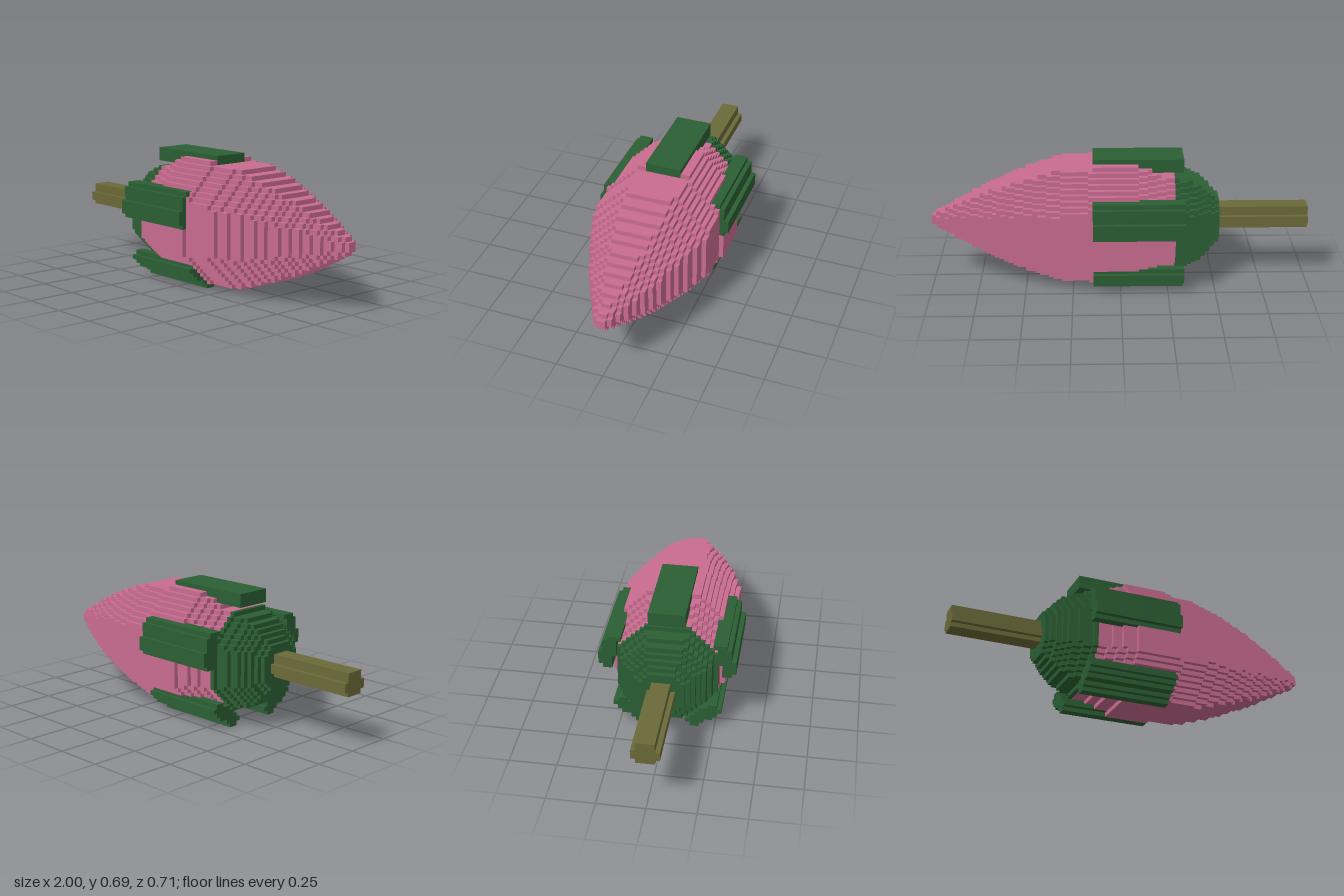
import * as THREE from 'three';

const S = 2 / 84;               // cell size
const NX = 84, NY = 29, NZ = 30; // grid cells
const CY = 14;                  // height of the long axis, in cells

// Outline radius [slice, radius] in cells along the long axis
const CALYX = [[20, 4.6], [22, 6.6], [24, 8.6], [27, 9.8], [30, 10.9]];
const BUD = [[30, 10.7], [33, 11.5], [35, 12.5], [38, 13.5], [43, 13.8], [48, 13.5], [57, 12.5],
  [60, 11.5], [66, 9.5], [71, 7.5], [75, 5.5], [81, 2.5], [84, 1]];

function radiusAt(profile, x) {
  for (let n = 1; n < profile.length; n++) {
    const [x0, r0] = profile[n - 1], [x1, r1] = profile[n];
    if (x >= x0 && x <= x1) return r0 + (r1 - r0) * (x - x0) / (x1 - x0);
  }
  return 0;
}

// Regular octagon section
const inOctagon = (y, z, r) =>
  Math.max(Math.abs(y), Math.abs(z)) < r && Math.abs(y) + Math.abs(z) < r * Math.SQRT2;

// Five flat sepals spaced evenly around the axis
function inSepal(x, y, z) {
  if (x < 28 || x > 48) return false;
  for (let n = 0; n < 5; n++) {
    const a = n * Math.PI * 2 / 5;
    const out = y * Math.cos(a) + z * Math.sin(a);
    const across = z * Math.cos(a) - y * Math.sin(a);
    if (out > 12 && out < 15 && Math.abs(across) < 4) return true;
  }
  return false;
}

// Hexagonal stem section
const inStem = (x, y, z) =>
  x < 20 && Math.abs(y) < 2.6 && y > -2.4 && Math.abs(z) < 3 - Math.abs(y) / Math.sqrt(3);

// Which part fills a cell
function partAt(i, j, k) {
  if (i < 0 || j < 0 || k < 0 || i >= NX || j >= NY || k >= NZ) return '';
  const x = i + 0.5, y = j + 0.5 - CY, z = k + 0.5 - NZ / 2;
  if (inSepal(x, y, z)) return 'sepals';
  if (inStem(x, y, z)) return 'stem';
  if (x < 30) return inOctagon(y, z, radiusAt(CALYX, x)) ? 'calyx' : '';
  return inOctagon(y, z, radiusAt(BUD, x)) ? 'petals' : '';
}

export function createModel() {
  const petalPink = new THREE.MeshStandardMaterial({ color: 0xc96c90 });
  const leafGreen = new THREE.MeshStandardMaterial({ color: 0x2b5f34 });
  const stemOlive = new THREE.MeshStandardMaterial({ color: 0x6b6a38 });
  petalPink.name = 'petalPink';
  leafGreen.name = 'leafGreen';
  stemOlive.name = 'stemOlive';
  const materials = { petals: petalPink, calyx: leafGreen, sepals: leafGreen, stem: stemOlive };
  const positions = { petals: [], calyx: [], sepals: [], stem: [] };

  // Fill the grid once
  const grid = new Map();
  const key = (c) => (c[0] * 64 + c[1]) * 64 + c[2];
  for (let i = 0; i < NX; i++)
    for (let j = 0; j < NY; j++)
      for (let k = 0; k < NZ; k++) {
        const part = partAt(i, j, k);
        if (part) grid.set(key([i, j, k]), { part, cell: [i, j, k] });
      }

  // Keep only cell faces that touch air
  const quad = [[0, 0], [1, 0], [1, 1], [0, 0], [1, 1], [0, 1]];
  for (const { part, cell } of grid.values())
    for (let a = 0; a < 3; a++)
      for (const side of [-1, 1]) {
        const next = cell.slice();
        next[a] += side;
        const inside = next.every((v) => v >= 0);
        if (inside && grid.has(key(next))) continue;
        for (const [p, q] of quad) {
          const c = cell.slice();
          c[a] += side > 0 ? 1 : 0;
          c[(a + 1) % 3] += side > 0 ? p : q;
          c[(a + 2) % 3] += side > 0 ? q : p;
          positions[part].push(c[0] * S - 1, c[1] * S, (c[2] - NZ / 2) * S);
        }
      }

  const group = new THREE.Group();
  group.name = 'flowerBud';
  for (const part of Object.keys(positions)) {
    const geometry = new THREE.BufferGeometry();
    geometry.setAttribute('position', new THREE.Float32BufferAttribute(positions[part], 3));
    geometry.computeVertexNormals();
    const mesh = new THREE.Mesh(geometry, materials[part]);
    mesh.name = part;
    group.add(mesh);
  }
  return group;
}
